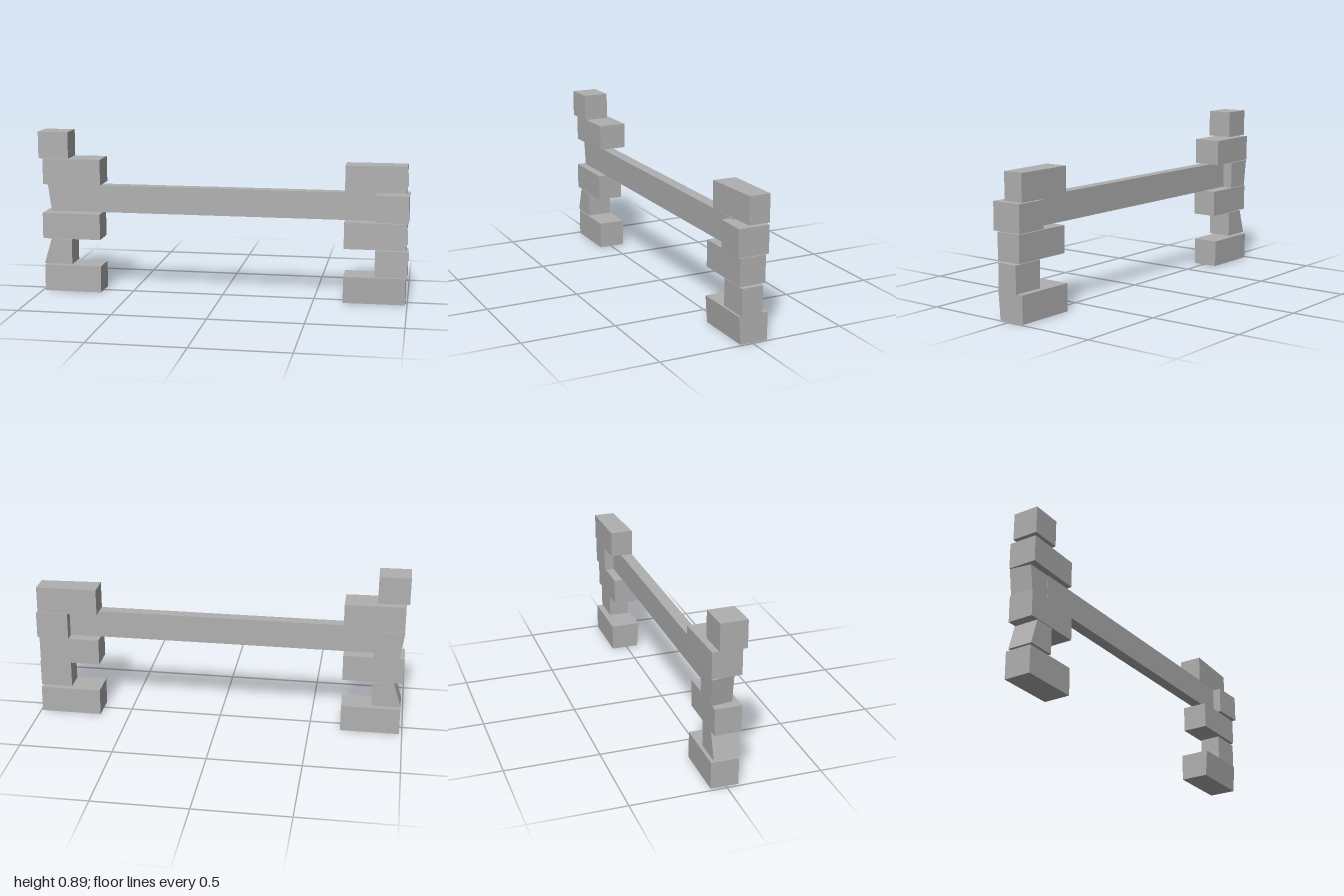
import * as THREE from 'three';

const stone = new THREE.MeshStandardMaterial({ color: 0xb0b0b0 });
stone.name = 'grey stone';

// A rough-cut block; 'skew' may move each corner, given its 0..1 place (u, v, w) along x, y, z.
function block(name, [x0, x1], [y0, y1], [z0, z1], skew) {
  const box = new THREE.BoxGeometry(1, 1, 1);
  const pos = box.attributes.position;
  const p = new THREE.Vector3();
  for (let i = 0; i < pos.count; i++) {
    const u = pos.getX(i) + 0.5, v = pos.getY(i) + 0.5, w = pos.getZ(i) + 0.5;
    p.set(x0 + (x1 - x0) * u, y0 + (y1 - y0) * v, z0 + (z1 - z0) * w);
    if (skew) skew(p, u, v, w);
    pos.setXYZ(i, p.x, p.y, p.z);
  }
  const geometry = box.toNonIndexed();
  geometry.computeVertexNormals();
  const mesh = new THREE.Mesh(geometry, stone);
  mesh.name = name;
  return mesh;
}

export function createModel() {
  const model = new THREE.Group();
  model.name = 'blockFrame';

  // Right pillar (-x): long and short blocks alternate
  const right = new THREE.Group();
  right.name = 'rightPillar';
  right.add(
    block('baseBlock', [-0.985, -0.668], [0, 0.146], [-0.08, 0.065]),
    block('lowerShortBlock', [-0.985, -0.828], [0.155, 0.293], [-0.067, 0.069],
      (p, u, v) => { p.x += 0.042 * v * (1 - u); }),
    block('middleBlock', [-0.99, -0.668], [0.296, 0.438], [-0.068, 0.07]),
    block('upperShortBlock', [-0.965, -0.828], [0.444, 0.592], [-0.08, 0.036],
      (p, u, v, w) => { p.x += (1 - u) * (0.018 * w - 0.02 * v); }),
    block('upperBlock', [-0.983, -0.665], [0.597, 0.737], [-0.085, 0.07],
      (p, u) => { p.z -= 0.009 * u; }),
    block('topBlock', [-1, -0.835], [0.742, 0.887], [-0.054, 0.086],
      (p, u) => { p.z -= 0.004 * u; })
  );

  // Left pillar (+x)
  const left = new THREE.Group();
  left.name = 'leftPillar';
  left.add(
    block('baseBlock', [0.66, 0.99], [0, 0.145], [-0.085, 0.066],
      (p, u, v, w) => { p.z += w * (0.011 * v - 0.004 * u); }),
    block('lowerShortBlock', [0.825, 0.998], [0.145, 0.288], [-0.051, 0.063]),
    block('middleBlock', [0.66, 0.99], [0.296, 0.438], [-0.068, 0.072]),
    block('upperShortBlock', [0.825, 0.998], [0.444, 0.588], [-0.079, 0.083],
      (p, u, v, w) => { p.z += 0.006 * u * w; }),
    block('upperBlock', [0.66, 0.986], [0.594, 0.737], [-0.083, 0.041],
      (p, u, v, w) => { p.z -= u * (0.004 + 0.012 * w); })
  );

  // Long rail between the upper short blocks
  const rail = block('crossRail', [-0.83, 0.85], [0.446, 0.594], [-0.025, 0.038]);

  model.add(right, left, rail);
  return model;
}
